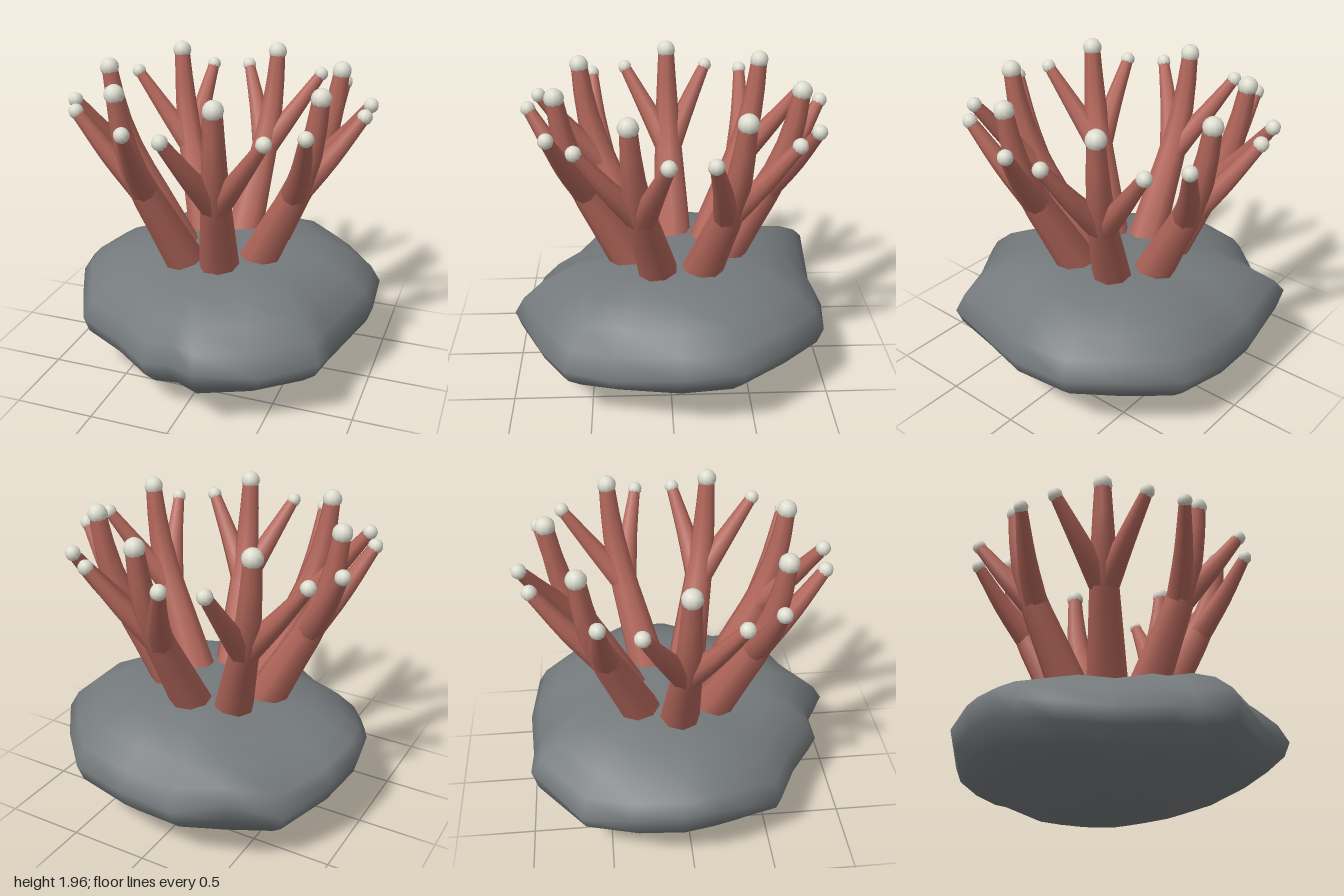
import * as THREE from 'three';

const rockMat = new THREE.MeshStandardMaterial({ color: 0x757a7c });
const coralMat = new THREE.MeshStandardMaterial({ color: 0xb5685c });
const tipMat = new THREE.MeshStandardMaterial({ color: 0xdcdccf });

// Rock: irregular rim [x, y, z], joined to a domed top and a rounded underside
const RIM = [
  [-0.56, 0.58, -0.97], [-0.2, 0.4, -0.98], [0.14, 0.44, -1], [0.49, 0.48, -0.95], [0.74, 0.5, -0.7],
  [0.96, 0.5, -0.41], [0.985, 0.48, -0.05], [0.83, 0.37, 0.38], [0.815, 0.44, 0.65], [0.5, 0.38, 0.82],
  [0.16, 0.44, 1], [-0.03, 0.4, 0.88], [-0.2, 0.38, 0.89], [-0.46, 0.38, 0.7], [-0.76, 0.4, 0.55],
  [-0.87, 0.47, 0.33], [-0.95, 0.53, 0.15], [-0.99, 0.53, -0.06], [-0.95, 0.5, -0.39], [-0.78, 0.37, -0.68],
];
// [fraction of rim radius, height: 1 = top, 0 = rim, -1 = bottom]
const PROFILE = [
  [0, 1], [0.25, 0.99], [0.45, 0.95], [0.65, 0.84], [0.82, 0.6], [0.94, 0.3], [1, 0],
  [0.965, -0.25], [0.86, -0.5], [0.74, -0.68], [0.53, -0.84], [0.28, -0.98], [0, -1],
];

function rockGeometry() {
  const pos = [], index = [], n = RIM.length;
  for (const [s, h] of PROFILE) {
    for (const [rx, y, rz] of RIM) {
      const x = rx * s, z = rz * s;
      // shallow hollow in the left front of the dome
      const hollow = 0.045 * Math.exp(-((x + 0.28) ** 2 + (z - 0.38) ** 2) / 0.07);
      const top = 0.8 + 0.05 * x - 0.03 * z - hollow;
      const bottom = 0.005 + 0.1 * Math.max(0, x);
      pos.push(x, h > 0 ? y + (top - y) * h : y + (y - bottom) * h, z);
    }
  }
  const last = PROFILE.length - 2;
  for (let i = 0; i <= last; i++) {
    for (let j = 0; j < n; j++) {
      const k = (j + 1) % n, a = i * n + j, c = i * n + k, b = a + n, d = c + n;
      if (i > 0) index.push(a, c, b);
      if (i < last) index.push(c, d, b);
    }
  }
  const g = new THREE.BufferGeometry();
  g.setAttribute('position', new THREE.Float32BufferAttribute(pos, 3));
  g.setIndex(index);
  g.computeVertexNormals();
  return g;
}

// Tube along points, narrowing from r0 to r1
function taperedTube(points, r0, r1, segments = 8, sides = 8) {
  const curve = new THREE.CatmullRomCurve3(points);
  const g = new THREE.TubeGeometry(curve, segments, 1, sides);
  const p = g.attributes.position, v = new THREE.Vector3();
  for (let i = 0; i <= segments; i++) {
    const c = curve.getPointAt(i / segments);
    const r = THREE.MathUtils.lerp(r0, r1, i / segments);
    for (let j = 0; j <= sides; j++) {
      const k = i * (sides + 1) + j;
      v.fromBufferAttribute(p, k).sub(c).multiplyScalar(r).add(c);
      p.setXYZ(k, v.x, v.y, v.z);
    }
  }
  g.computeBoundingSphere();
  return g;
}

// Point from radius, height and angle in degrees
function polar(r, y, deg = 0) {
  const a = THREE.MathUtils.degToRad(deg);
  return new THREE.Vector3(r * Math.cos(a), y, r * Math.sin(a));
}

function addPart(parent, name, geometry, material) {
  const mesh = new THREE.Mesh(geometry, material);
  mesh.name = name;
  parent.add(mesh);
  return mesh;
}

function addTip(parent, name, radius, at) {
  addPart(parent, name, new THREE.SphereGeometry(radius, 10, 8), tipMat).position.copy(at);
}

// One stalk leaning along +x with a pair of side branches
function makeStalk() {
  const stalk = new THREE.Group();
  stalk.name = 'coralStalk';
  const top = polar(0.746, 1.9);
  const path = [polar(0.22, 0.6), polar(0.44, 1.02), polar(0.615, 1.36), polar(0.7, 1.62), top];
  addPart(stalk, 'stem', taperedTube(path, 0.138, 0.052), coralMat);
  addTip(stalk, 'stemTip', 0.061, top);
  for (const side of [-1, 1]) {
    const end = polar(0.9, 1.755, side * 17.8);
    const branch = [polar(0.58, 1.28, side), polar(0.735, 1.5, side * 10.5), end];
    addPart(stalk, 'branch', taperedTube(branch, 0.082, 0.037, 6, 8), coralMat);
    addTip(stalk, 'branchTip', 0.046, end);
  }
  return stalk;
}

export function createModel() {
  const model = new THREE.Group();
  model.name = 'coralOnRock';
  addPart(model, 'rock', rockGeometry(), rockMat);

  // Ring of seven stalks
  const ring = new THREE.Group();
  ring.name = 'coralRing';
  ring.position.set(-0.025, 0, -0.05);
  for (let i = 0; i < 7; i++) {
    const stalk = makeStalk();
    stalk.rotation.y = -THREE.MathUtils.degToRad(22.9 + (i * 360) / 7);
    ring.add(stalk);
  }
  model.add(ring);
  return model;
}
